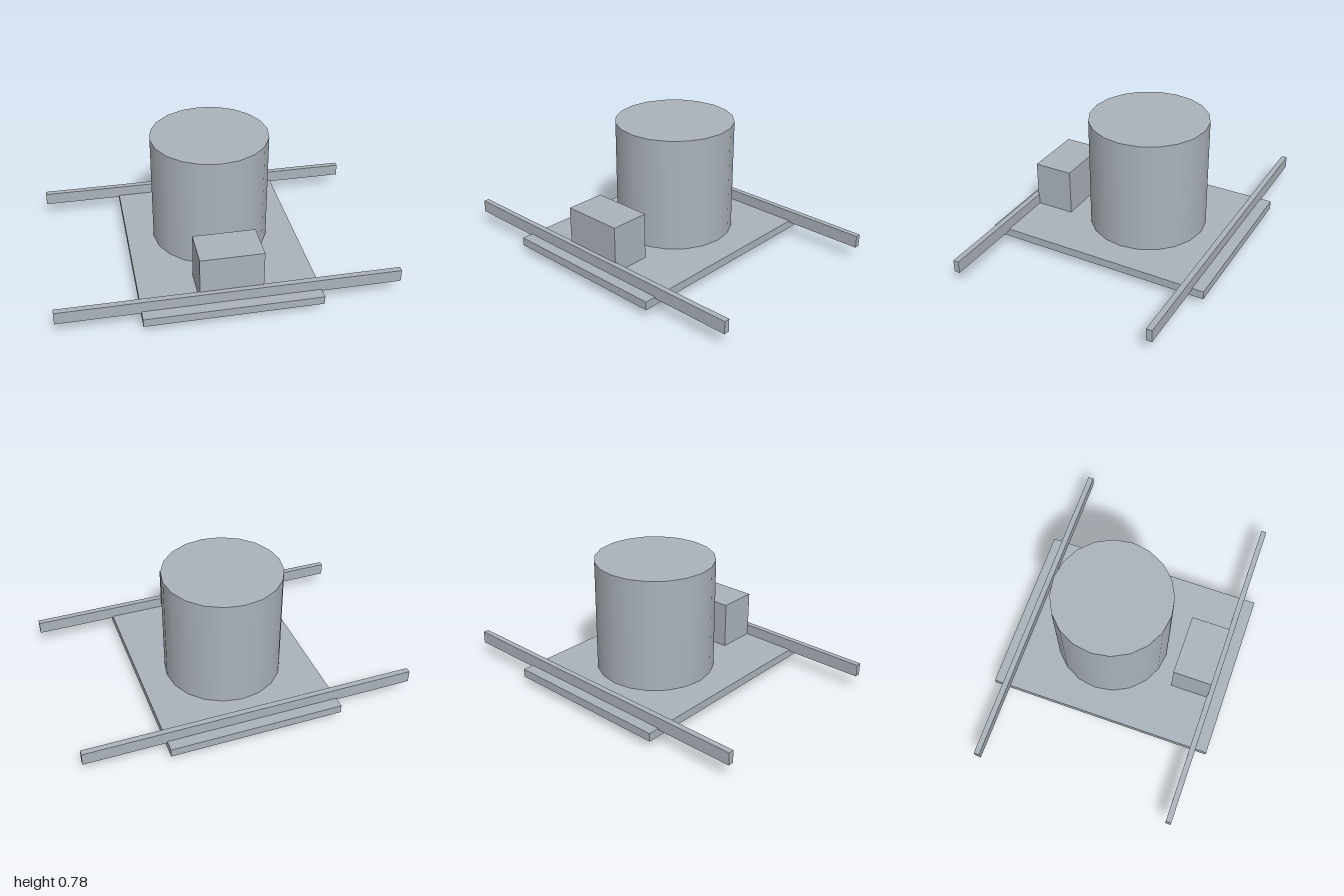
import * as THREE from 'three';

export function createModel() {
  const model = new THREE.Group();
  model.name = 'recessedDownlight';

  const material = (name, color) => {
    const m = new THREE.MeshStandardMaterial({ color });
    m.name = name;
    return m;
  };
  const metal = material('galvanised grey', 0xaab2ba);
  const white = material('trim white', 0xd9dadb);
  const cream = material('lens cream', 0xd8d1b2);

  const add = (name, geometry, mat, x, y, z) => {
    const mesh = new THREE.Mesh(geometry, mat);
    mesh.name = name;
    mesh.position.set(x, y, z);
    model.add(mesh);
  };
  // Box and upright drum given by their bottom and top heights
  const box = (name, w, y0, y1, z0, z1) =>
    add(name, new THREE.BoxGeometry(w, y1 - y0, z1 - z0), metal, 0, (y0 + y1) / 2, (z0 + z1) / 2);
  const lampZ = -0.088;
  const drum = (name, r, y0, y1, sides, mat) =>
    add(name, new THREE.CylinderGeometry(r, r, y1 - y0, sides), mat, 0, (y0 + y1) / 2, lampZ);

  // Mounting plate and junction box
  box('mountingPlate', 1.04, 0.05, 0.1, -0.695, 0.695);
  box('junctionBox', 0.37, 0.1, 0.382, 0.359, 0.597);

  // Hanger bars across the front and back
  box('frontHangerBar', 2, 0.09, 0.165, 0.592, 0.626);
  box('backHangerBar', 2, 0.09, 0.165, -0.626, -0.592);

  // Lamp housing above, trim ring and lens below
  drum('lampHousing', 0.355, 0.1, 0.784, 20, metal);
  drum('trimRing', 0.426, 0.015, 0.05, 24, white);
  drum('lens', 0.314, 0, 0.018, 24, cream);

  return model;
}
